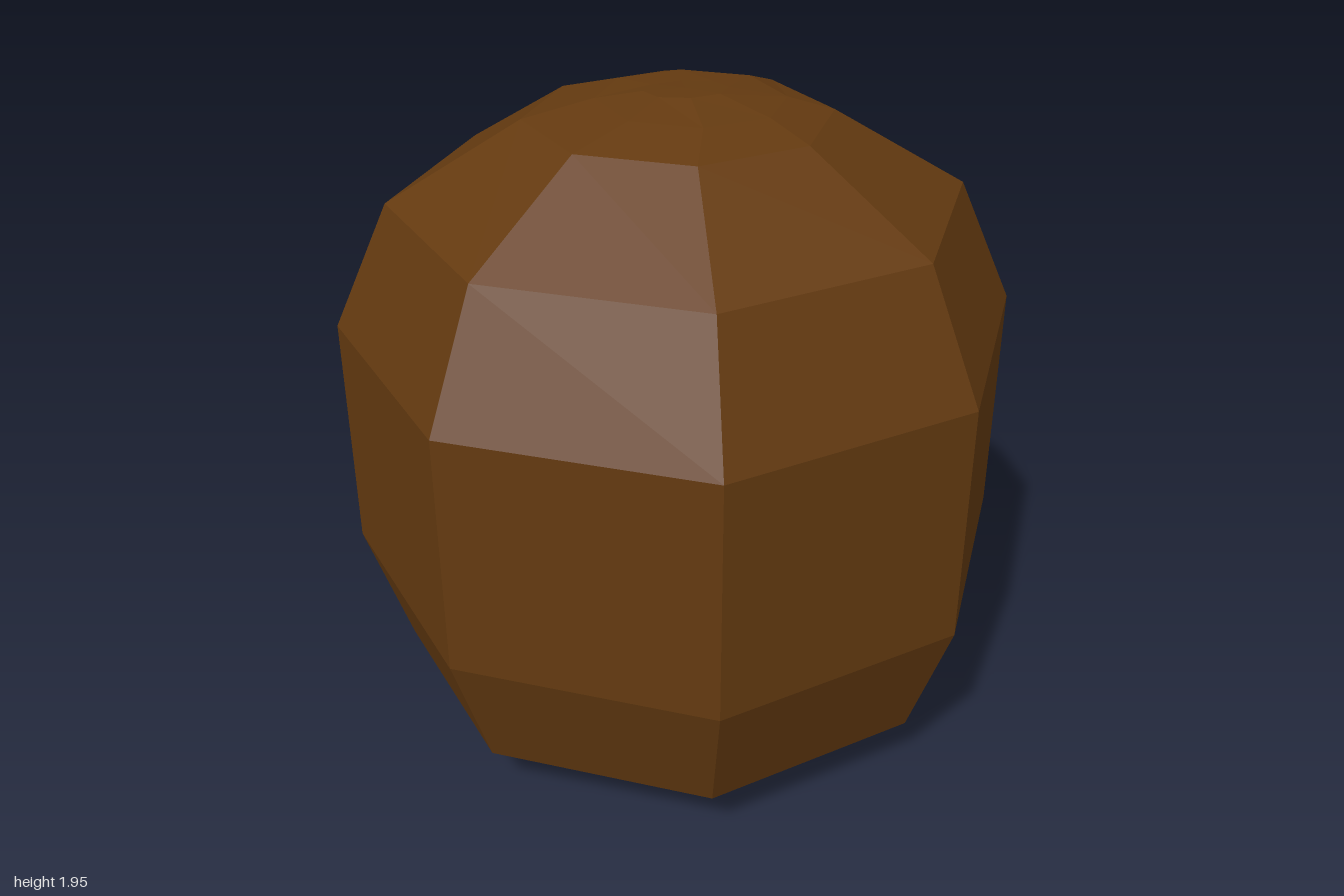
import * as THREE from 'three';

export function createModel() {
  const model = new THREE.Group();
  const brown = new THREE.MeshStandardMaterial({ color: 0x643a10, flatShading: true });
  brown.name = 'brown';

  // Eight-sided barrel profile: radius, height, from the flat base to the crown
  const profile = [
    [0, 0], [0.565, 0], [0.87, 0.17], [1, 0.56], [1, 1.28], [0.83, 1.65],
    [0.44, 1.88], [0.27, 1.925], [0.12, 1.945], [0, 1.947],
  ].map(([r, y]) => new THREE.Vector2(r, y));
  const geometry = new THREE.LatheGeometry(profile, 8);

  // Slightly uneven crown: shift and tilt the small upper rings
  const p = geometry.attributes.position;
  for (let i = 0; i < p.count; i++) {
    const x = p.getX(i), y = p.getY(i), z = p.getZ(i);
    if (y < 1.9) continue;
    const inner = y > 1.94;
    p.setXYZ(
      i,
      x + (inner ? 0 : 0.02),
      y + (inner ? x * 0.07 : -x * 0.025) + 0.004 * Math.sin(14 * z),
      z - 0.03,
    );
  }
  const flat = geometry.toNonIndexed();
  flat.computeVertexNormals();

  const body = new THREE.Mesh(flat, brown);
  body.name = 'roundedBody';
  model.add(body);
  return model;
}
